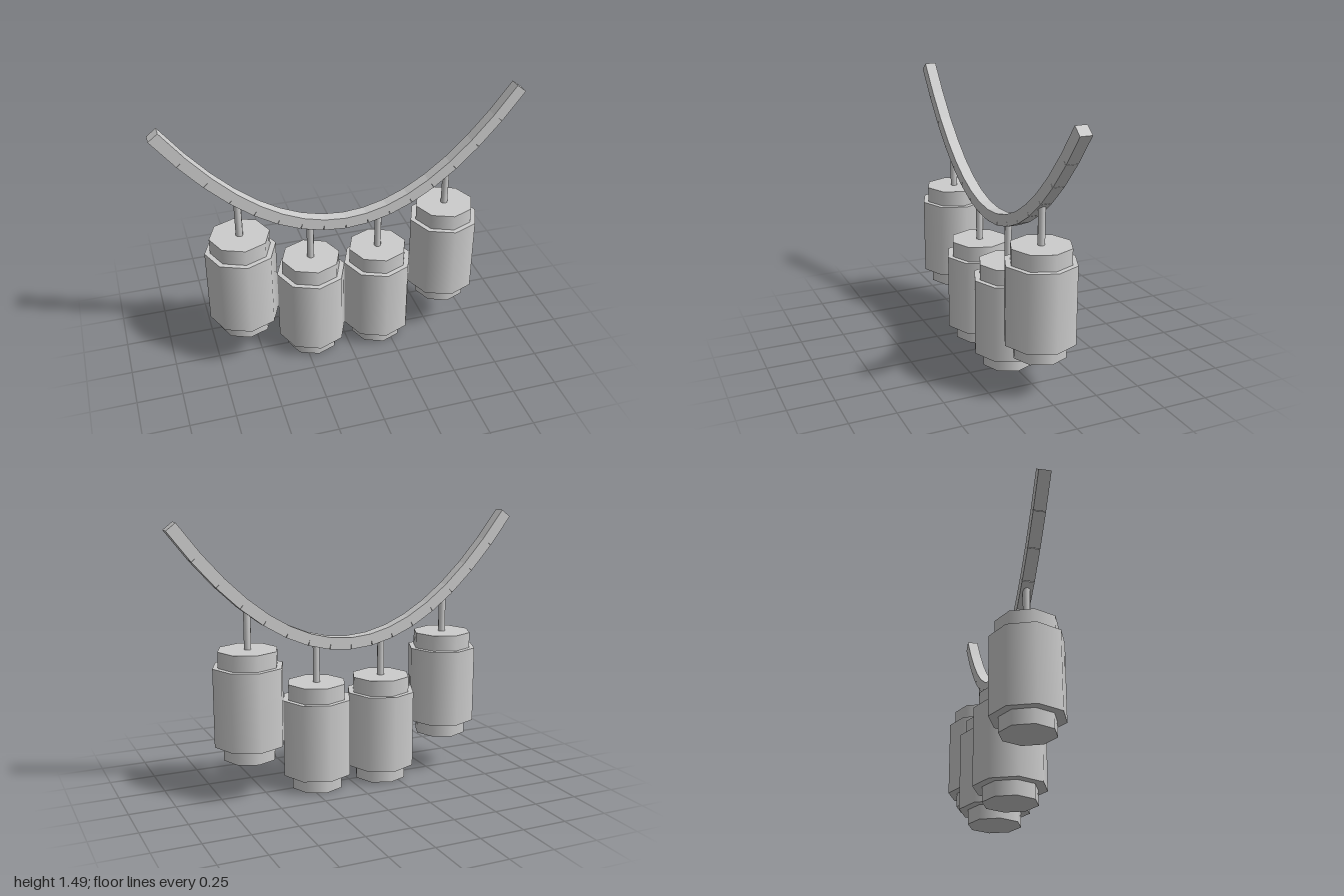
import * as THREE from 'three';

const material = new THREE.MeshStandardMaterial({ color: 0xcccccc });
const HALF_SPAN = 0.974, LOW = 0.797, RISE = 0.675, BAND = 0.065;
const curveY = (x) => LOW + RISE * (x / HALF_SPAN) ** 2;

function add(parent, name, geometry, x, y) {
  const mesh = new THREE.Mesh(geometry, material);
  mesh.name = name;
  mesh.position.set(x, y, 0);
  parent.add(mesh);
  return mesh;
}

// Upright octagonal cylinder between two heights
function drum(parent, name, radius, bottom, top) {
  add(parent, name, new THREE.CylinderGeometry(radius, radius, top - bottom, 8), 0, (top + bottom) / 2);
}

// Sagging band of straight links, each following a chord of the parabola
function createBand() {
  const band = new THREE.Group();
  band.name = 'hangingBand';
  const links = 16, step = (2 * HALF_SPAN) / links;
  for (let i = 0; i < links; i++) {
    const x0 = -HALF_SPAN + i * step, x1 = x0 + step;
    const y0 = curveY(x0), y1 = curveY(x1);
    const link = add(band, 'bandLink',
      new THREE.BoxGeometry(Math.hypot(step, y1 - y0), BAND, BAND), (x0 + x1) / 2, (y0 + y1) / 2);
    link.rotation.z = Math.atan2(y1 - y0, step);
  }
  return band;
}

// Canister with stepped base and cap, hung on a thin rod
function createCanister(x, base) {
  const canister = new THREE.Group();
  canister.name = 'canister';
  canister.position.set(x, base, 0);
  drum(canister, 'canisterBase', 0.146, 0, 0.08);
  drum(canister, 'canisterBody', 0.195, 0.08, 0.508);
  drum(canister, 'canisterCap', 0.165, 0.508, 0.595);
  drum(canister, 'hangingRod', 0.02, 0.595, curveY(x) - base);
  return canister;
}

export function createModel() {
  const model = new THREE.Group();
  model.name = 'hangingCanisters';
  model.add(createBand());
  for (const side of [-1, 1]) {
    model.add(createCanister(side * 0.195, 0));
    model.add(createCanister(side * 0.584, 0.218));
  }
  return model;
}
